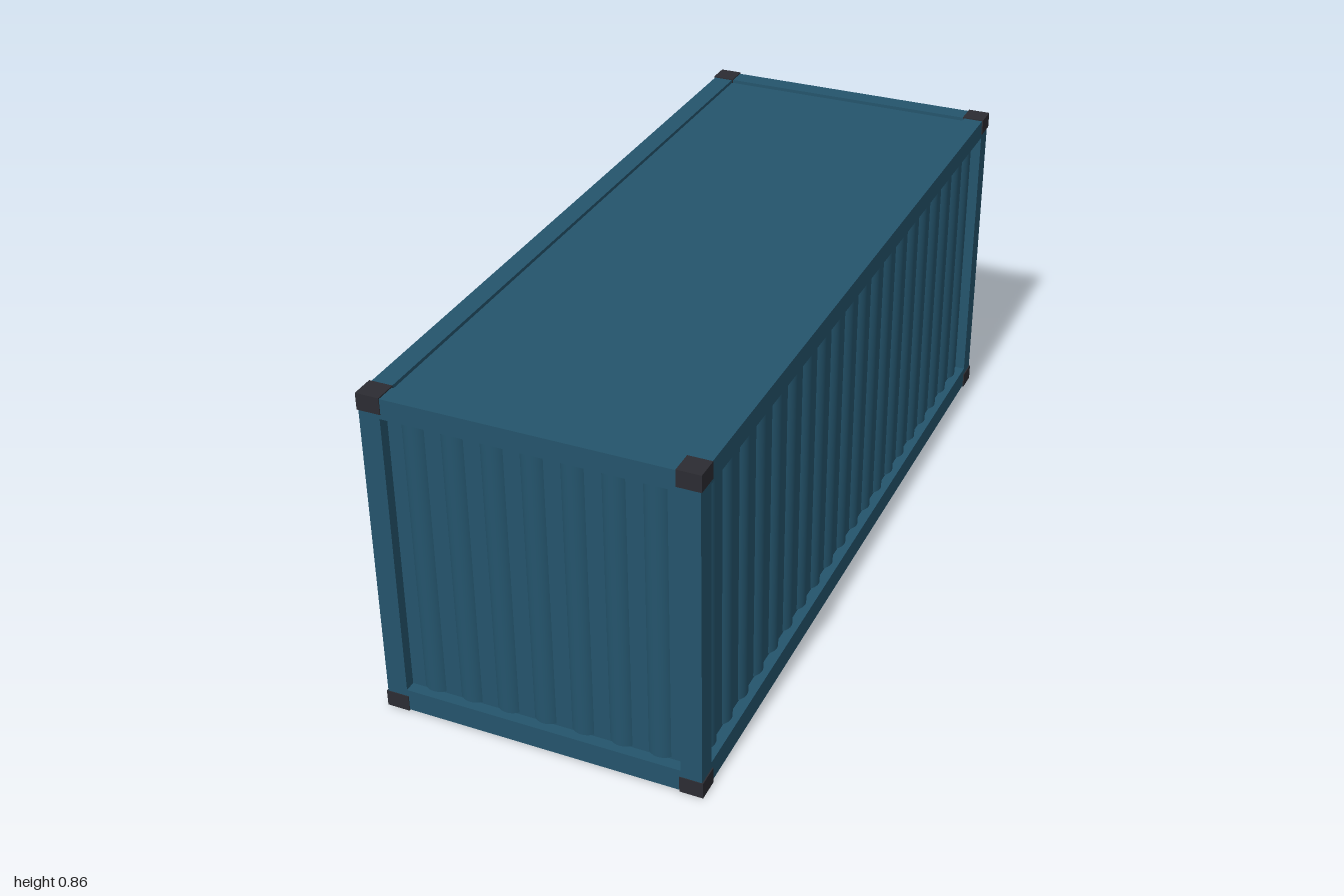
import * as THREE from 'three';

export function createModel() {
  const model = new THREE.Group();
  model.name = 'shippingContainer';
  const mat = (name, color) => Object.assign(new THREE.MeshStandardMaterial({ color }), { name });
  const blue = mat('bluePaint', 0x24546c);
  const iron = mat('darkCasting', 0x2c2c32);
  const black = mat('blackFloor', 0x18181a);
  const steel = mat('lockingSteel', 0x8c827c);

  const add = (name, geometry, material, x, y, z, parent = model) => {
    const mesh = new THREE.Mesh(geometry, material);
    mesh.name = name;
    mesh.position.set(x, y, z);
    parent.add(mesh);
    return mesh;
  };
  // Box given by its lower and upper corners
  const box = (name, material, a, b) => add(name,
    new THREE.BoxGeometry(b[0] - a[0], b[1] - a[1], b[2] - a[2]), material,
    (a[0] + b[0]) / 2, (a[1] + b[1]) / 2, (a[2] + b[2]) / 2);

  // Outer limits of the frame
  const X = 0.402, F = 0.998, B = -0.993, LOW = 0.003, TOP = 0.855;
  const W = 0.052;

  // Inner body: walls and slightly sunken roof
  box('body', blue, [-0.375, 0.03, -0.96], [0.375, 0.846, 0.97]);
  box('floor', black, [-0.36, 0.009, -0.95], [0.36, 0.03, 0.955]);

  // Frame: posts and long rails on each side, cross rails at each end
  for (const s of [-1, 1]) {
    const xs = s < 0 ? [-X, -X + W] : [X - W, X];
    box('frontPost', blue, [xs[0], LOW, F - W], [xs[1], TOP, F]);
    box('rearPost', blue, [xs[0], LOW, B], [xs[1], TOP, B + W]);
    box('bottomSideRail', blue, [xs[0], LOW, B + W], [xs[1], 0.06, F - W]);
    box('topSideRail', blue, [xs[0], 0.804, B + W], [xs[1], TOP, F - W]);
  }
  for (const [z0, z1] of [[F - W, F], [B, B + W]]) {
    box('bottomEndRail', blue, [-X + W, LOW, z0], [X - W, 0.06, z1]);
    box('topEndRail', blue, [-X + W, 0.804, z0], [X - W, TOP, z1]);
  }

  // Corner castings
  for (const x of [-0.376, 0.376])
    for (const y of [0.021, 0.837])
      for (const z of [0.971, -0.967])
        add('cornerCasting', new THREE.BoxGeometry(0.058, 0.042, 0.058), iron, x, y, z);

  // Shallow rounded corrugations, a row for each wall
  const ribWidth = 0.055, ribDepth = 0.012;
  const radius = (ribWidth ** 2 / 4 + ribDepth ** 2) / (2 * ribDepth);
  const half = Math.asin(ribWidth / 2 / radius);
  const rib = new THREE.CylinderGeometry(radius, radius, 0.732, 10, 1, false, -half, 2 * half);
  rib.translate(0, 0, ribDepth - radius);
  const ribRow = (name, count, length, x, z, turn) => {
    const row = new THREE.Group();
    row.name = name;
    row.position.set(x, 0.431, z);
    row.rotation.y = turn;
    for (let i = 0; i < count; i++)
      add('corrugation', rib, blue, ((i + 0.5) / count - 0.5) * length, 0, 0, row);
    model.add(row);
  };
  ribRow('frontCorrugations', 7, 0.67, 0, 0.97, 0);
  ribRow('leftCorrugations', 20, 1.87, 0.375, 0.002, Math.PI / 2);
  ribRow('rightCorrugations', 20, 1.87, -0.375, 0.002, -Math.PI / 2);

  // Rear doors with two locking rods each
  const rod = new THREE.CylinderGeometry(0.006, 0.006, 0.725, 12);
  for (const s of [-1, 1]) {
    add('door', new THREE.BoxGeometry(0.337, 0.732, 0.017), blue, s * 0.1745, 0.431, -0.9665);
    for (const x of [0.085, 0.25])
      add('lockingRod', rod, steel, s * x, 0.43, -0.994);
  }
  return model;
}
